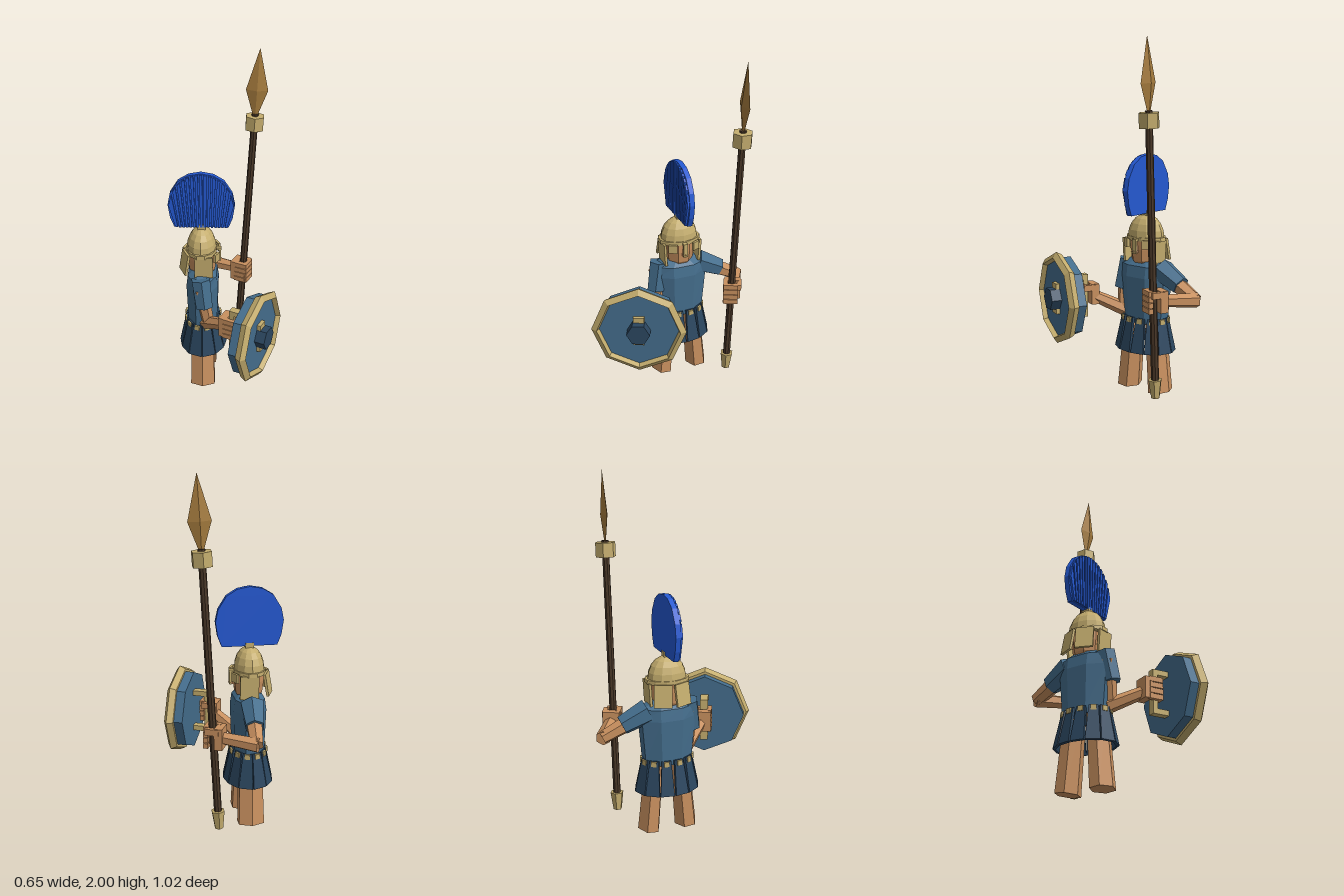
import * as THREE from 'three';

const V = (x, y, z) => new THREE.Vector3(x, y, z);
const mat = (color) => new THREE.MeshStandardMaterial({ color, flatShading: true, side: THREE.DoubleSide });
const skin = mat(0xc8905f), tunic = mat(0x446d8c), dark = mat(0x2b465f), gold = mat(0xc4ad6e);
const wood = mat(0x4a3828), bronze = mat(0xa67c3e), blue = mat(0x2458d0);
const CX = -0.135, CZ = -0.108; // body axis

function add(parent, name, geo, material, pos = [0, 0, 0]) {
  const m = new THREE.Mesh(geo, material);
  m.name = name;
  m.position.set(...pos);
  parent.add(m);
  return m;
}

// Tapered prism running from point a to point b
function limb(parent, name, a, b, ra, rb, material, sides = 6) {
  const m = add(parent, name, new THREE.CylinderGeometry(rb, ra, a.distanceTo(b), sides), material);
  m.position.copy(a).lerp(b, 0.5);
  m.quaternion.setFromUnitVectors(V(0, 1, 0), b.clone().sub(a).normalize());
  return m;
}

// Upright solid from rows [y, rx, rz], top row first
function loft(rows, sides) {
  const g = new THREE.CylinderGeometry(1, 1, 1, sides, rows.length - 1, false, Math.PI / sides);
  const p = g.attributes.position;
  for (let i = 0; i < p.count; i++) {
    const [y, rx, rz] = rows[Math.round((0.5 - p.getY(i)) * (rows.length - 1))];
    p.setXYZ(i, p.getX(i) * rx, y, p.getZ(i) * rz);
  }
  return g;
}

// Closed fist around a vertical grip, knuckles toward local +x
function fist(parent, name, pos, yaw) {
  const h = new THREE.Group();
  h.name = name;
  h.position.copy(pos);
  h.rotation.y = yaw;
  add(h, 'palm', new THREE.BoxGeometry(0.045, 0.12, 0.095), skin, [-0.035, 0, 0]);
  for (let i = 0; i < 4; i++) {
    const y = -0.048 + i * 0.032;
    add(h, 'fingerSide', new THREE.BoxGeometry(0.07, 0.028, 0.028), skin, [0.005, y, 0.038]);
    add(h, 'fingerTip', new THREE.BoxGeometry(0.026, 0.028, 0.085), skin, [0.038, y, 0.008]);
  }
  add(h, 'thumb', new THREE.BoxGeometry(0.075, 0.035, 0.026), skin, [0, 0.04, -0.04]);
  parent.add(h);
}

function buildBody(g) {
  add(g, 'torso', loft([[0.77, 0.05, 0.09], [0.735, 0.09, 0.17], [0.67, 0.1, 0.17],
    [0.43, 0.092, 0.148], [0.405, 0.088, 0.14]], 8), tunic, [CX, 0, CZ]);
  add(g, 'head', loft([[0.9, 0.085, 0.088], [0.83, 0.088, 0.09], [0.765, 0.08, 0.08], [0.71, 0.045, 0.045]], 8),
    skin, [CX, 0, CZ]);
  limb(g, 'nose', V(-0.055, 0.855, CZ), V(-0.04, 0.815, CZ), 0.008, 0.02, skin, 4);
  for (const s of [-1, 1]) {
    const leg = limb(g, 'leg', V(CX, 0.006, CZ + s * 0.112), V(CX, 0.42, CZ + s * 0.075), 0.064, 0.055, skin);
    leg.scale.x = 1.3;
  }

  // Skirt straps hang and flare around the waist
  for (let i = 0; i < 12; i++) {
    const a = (i + 0.5) * Math.PI / 6;
    const pivot = new THREE.Group();
    pivot.name = 'skirtStrap';
    pivot.position.set(CX + Math.cos(a) * 0.093, 0.43, CZ + Math.sin(a) * 0.138);
    pivot.rotation.y = -Math.atan2(Math.sin(a) / 0.138, Math.cos(a) / 0.093);
    const geo = new THREE.BoxGeometry(0.016, 0.2, 1);
    const p = geo.attributes.position;
    for (let k = 0; k < p.count; k++) p.setZ(k, p.getZ(k) * (p.getY(k) > 0 ? 0.052 : 0.08));
    const strap = add(pivot, 'strap', geo, dark, [0.018, -0.09, 0]);
    strap.rotation.z = 0.2;
    add(pivot, 'stud', new THREE.BoxGeometry(0.022, 0.028, 0.03), gold, [0.006, -0.007, 0]);
    g.add(pivot);
  }
}

function buildArms(g) {
  // Arm bearing the shield
  const s1 = V(-0.14, 0.7, 0.035), e1 = V(-0.1, 0.46, 0.025), w1 = V(0.01, 0.535, 0.155);
  limb(g, 'sleeve', V(-0.14, 0.75, 0.015), V(-0.12, 0.58, 0.045), 0.06, 0.055, tunic);
  limb(g, 'upperArm', s1, e1, 0.045, 0.036, skin);
  limb(g, 'forearm', V(-0.115, 0.45, 0.01), w1, 0.042, 0.034, skin);
  fist(g, 'shieldHand', V(0.04, 0.55, 0.185), -0.45);
  // Arm holding the spear
  const s2 = V(-0.135, 0.7, -0.24), e2 = V(-0.115, 0.585, -0.475);
  limb(g, 'sleeve', V(-0.138, 0.715, -0.22), V(-0.125, 0.645, -0.365), 0.072, 0.055, tunic);
  limb(g, 'upperArm', s2, e2, 0.055, 0.038, skin);
  limb(g, 'forearm', V(-0.125, 0.585, -0.475), V(0.065, 0.6, -0.37), 0.042, 0.034, skin);
  fist(g, 'spearHand', V(0.095, 0.602, -0.352), -0.45);
}

function buildHelmet(g) {
  const dome = add(g, 'helmetDome', new THREE.SphereGeometry(1, 12, 5, 0, Math.PI * 2, 0, Math.PI / 2), gold,
    [CX - 0.004, 0.895, CZ]);
  dome.scale.set(0.086, 0.13, 0.112);
  add(g, 'helmetBrim', loft([[0.9, 0.09, 0.125], [0.878, 0.09, 0.127]], 12), gold, [CX - 0.004, 0, CZ]);
  add(g, 'crestMount', new THREE.BoxGeometry(0.045, 0.045, 0.045), gold, [CX - 0.003, 1.025, CZ]);
  add(g, 'noseGuard', new THREE.BoxGeometry(0.012, 0.08, 0.025), gold, [-0.033, 0.85, CZ]);
  add(g, 'noseGuardArm', new THREE.BoxGeometry(0.04, 0.012, 0.025), gold, [-0.045, 0.888, CZ]);
  // Cheek plates and flared neck plates, mirrored
  for (const s of [-1, 1]) {
    const cheek = add(g, 'cheekPlate', new THREE.BoxGeometry(0.105, 0.135, 0.014), gold, [CX + 0.012, 0.817, CZ + s * 0.106]);
    cheek.rotation.x = s * 0.06;
    const tab = add(g, 'browTab', new THREE.BoxGeometry(0.014, 0.05, 0.05), gold, [CX + 0.085, 0.865, CZ + s * 0.07]);
    tab.rotation.y = -s * 0.5;
    const neck = add(g, 'neckPlate', new THREE.BoxGeometry(0.014, 0.125, 0.1), gold, [CX - 0.1, 0.822, CZ + s * 0.056]);
    neck.rotation.set(0, s * 0.4, -0.17);
  }

  // Crest: solid fan backing with thin ribs on one face
  const half = [[0.155, 1.03], [0.178, 1.09], [0.19, 1.17], [0.176, 1.24], [0.13, 1.315], [0.07, 1.352], [0, 1.365]];
  const outline = [...half, ...half.slice(0, -1).reverse().map(([x, y]) => [-x, y])];
  const fan = (pts) => new THREE.Shape(pts.map(([x, y]) => new THREE.Vector2(x, y)));
  add(g, 'crest', new THREE.ExtrudeGeometry(fan(outline), { depth: 0.03, bevelEnabled: false }), blue, [-0.138, 0, -0.127]);
  const top = (u) => 1.15 + 0.21 * Math.sqrt(1 - u * u);
  const n = 15;
  for (let i = 0; i < n; i++) {
    const u = -0.95 + (1.9 * i) / (n - 1), a = u - 0.045, b = u + 0.045;
    const rib = fan([[0.148 * a, 1.033], [0.148 * b, 1.033], [0.185 * b, top(Math.min(1, b))], [0.185 * a, top(Math.max(-1, a))]]);
    add(g, 'crestRib', new THREE.ExtrudeGeometry(rib, { depth: 0.012, bevelEnabled: false }), blue, [-0.138, 0, -0.097]);
  }
}

function buildSpear(g) {
  const at = (y) => V(0.067 + (y - 0.05) * 0.058, y, -0.34 - (y - 0.05) * 0.008);
  limb(g, 'spearShaft', at(0.12), at(1.62), 0.022, 0.02, wood, 8);
  limb(g, 'spearButt', at(0.05), at(0.155), 0.025, 0.039, gold);
  limb(g, 'spearCollar', at(1.53), at(1.61), 0.057, 0.057, gold);
  const lower = limb(g, 'spearBlade', at(1.61), at(1.76), 0.012, 0.062, bronze, 4);
  const upper = limb(g, 'spearPoint', at(1.76), at(2.0), 0.062, 0, bronze, 4);
  for (const blade of [lower, upper]) blade.scale.z = 0.33;
}

function buildShield(g) {
  const s = new THREE.Group();
  s.name = 'shield';
  s.position.set(0.178, 0.54, 0.256);
  s.rotation.y = -Math.atan2(0.42, 0.905); // local +x is the outward face
  const disc = (name, r, x0, x1, sides, m) => limb(s, name, V(x0, 0, 0), V(x1, 0, 0), r, r, m, sides);
  disc('shieldBody', 0.234, -0.057, 0.024, 8, tunic);
  const profile = [[0.222, -0.005], [0.25, -0.005], [0.267, 0.03], [0.235, 0.052], [0.222, 0.02], [0.222, -0.005]];
  const rim = add(s, 'shieldRim', new THREE.LatheGeometry(profile.map(([r, y]) => new THREE.Vector2(r, y)), 8), gold);
  rim.rotation.z = -Math.PI / 2;
  const boss = disc('boss', 0.066, 0.02, 0.083, 6, dark);
  boss.rotateY(Math.PI / 2 - Math.PI / 2);
  for (const k of [-1, 1]) {
    add(s, 'bossTab', new THREE.BoxGeometry(0.03, 0.04, 0.062), gold, [0.03, k * 0.068, 0]);
    add(s, 'handleBracket', new THREE.BoxGeometry(0.1, 0.03, 0.045), gold, [-0.1, k * 0.11, 0]);
  }
  add(s, 'handle', new THREE.BoxGeometry(0.028, 0.25, 0.045), gold, [-0.14, 0, 0]);
  g.add(s);
}

export function createModel() {
  const g = new THREE.Group();
  g.name = 'spearman';
  [buildBody, buildArms, buildHelmet, buildSpear, buildShield].forEach((build) => build(g));
  return g;
}
